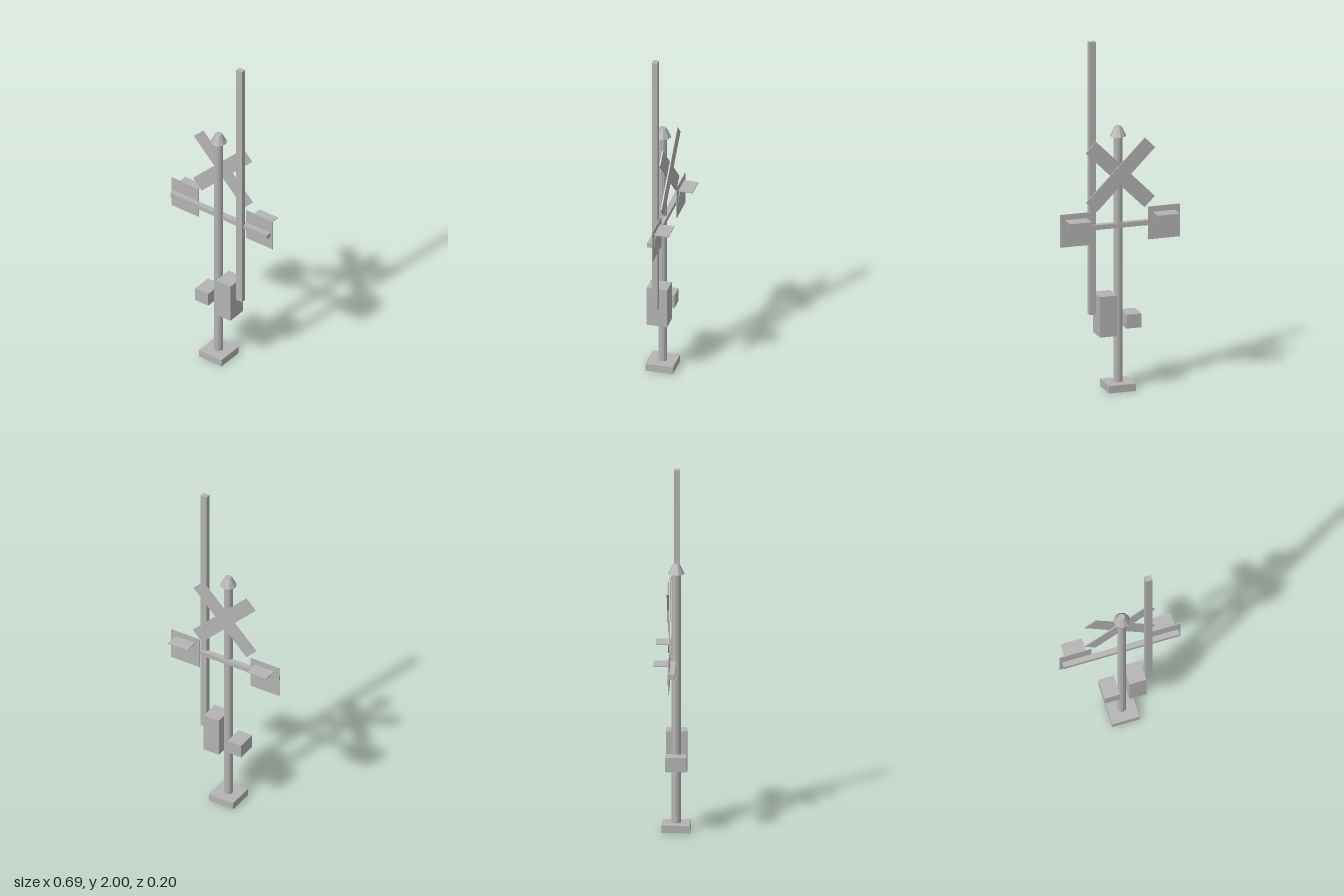
import * as THREE from 'three';

export function createModel() {
  const model = new THREE.Group();
  model.name = 'crossingSignal';
  const grey = new THREE.MeshStandardMaterial({ color: 0xb4b4b4, flatShading: true });
  grey.name = 'plain grey';
  const poleZ = 0.018;

  function add(name, geometry, x, y, z) {
    const mesh = new THREE.Mesh(geometry, grey);
    mesh.name = name;
    mesh.position.set(x, y, z);
    model.add(mesh);
    return mesh;
  }

  // Box given by its lower and upper bounds on each axis
  function box(name, [x0, x1], [y0, y1], [z0, z1]) {
    return add(name, new THREE.BoxGeometry(x1 - x0, y1 - y0, z1 - z0),
      (x0 + x1) / 2, (y0 + y1) / 2, (z0 + z1) / 2);
  }

  // Post with foot and tapered cap
  box('base', [-0.078, 0.078], [0, 0.042], [-0.06, 0.096]);
  add('post', new THREE.CylinderGeometry(0.025, 0.025, 1.41, 12), 0, 0.745, poleZ);
  add('postCap', new THREE.CylinderGeometry(0.019, 0.046, 0.055, 10), 0, 1.475, poleZ);

  // Gate mechanism, counterweight box and raised arm
  box('mechanismBox', [0.026, 0.124], [0.318, 0.55], [-0.04, 0.077]);
  box('sideBox', [-0.117, -0.028], [0.355, 0.434], [-0.04, 0.077]);
  box('gateArm', [0.132, 0.171], [0.44, 2], [0.003, 0.034]);

  // Crossed boards, one laid over the other
  [[1, -0.0185], [-1, -0.0255]].forEach(([side, z]) => {
    const board = add('crossBoard', new THREE.BoxGeometry(0.482, 0.085, 0.007), 0, 1.235, z);
    board.rotation.z = side * Math.PI / 4;
  });

  // Signal crossbar with a plate, lamp and visor at each end
  box('crossbar', [-0.332, 0.332], [0.928, 0.955], [-0.013, 0.018]);
  for (const side of [-1, 1]) {
    const x = side * 0.255;
    box('signalPlate', [x - 0.092, x + 0.092], [0.848, 1.035], [-0.018, -0.013]);
    const lamp = add('lamp', new THREE.CylinderGeometry(0.06, 0.06, 0.003, 24), x, 0.942, -0.0195);
    lamp.rotation.x = Math.PI / 2;
    box('visor', [x - 0.062, x + 0.062], [0.998, 1.003], [-0.1, -0.018]);
  }

  return model;
}
